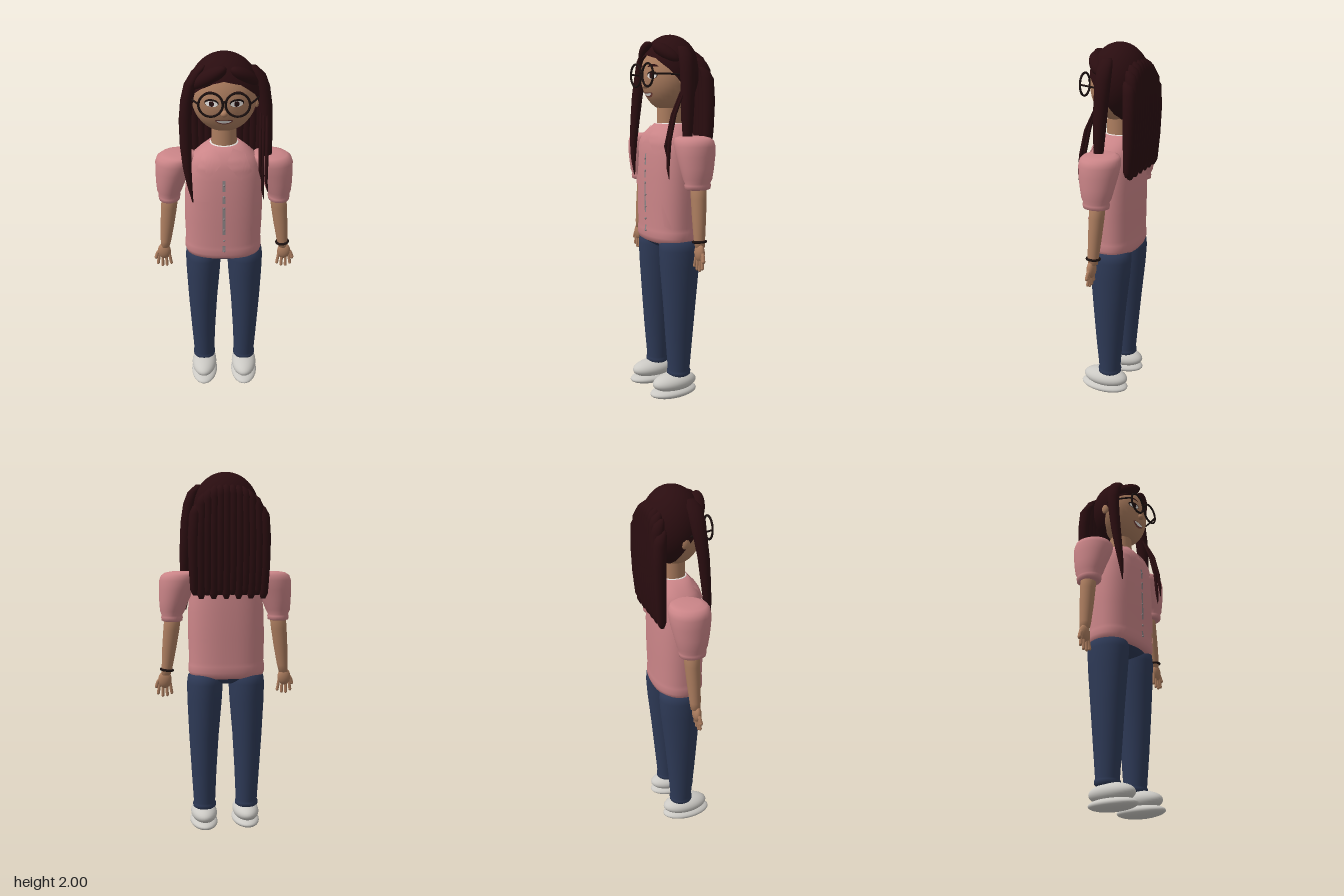
import * as THREE from 'three';
import { mergeVertices } from 'three/addons/utils/BufferGeometryUtils.js';

const mat = (name, color, side = THREE.FrontSide) => {
  const m = new THREE.MeshStandardMaterial({ color, side });
  m.name = name;
  return m;
};

// Smooth closed body through horizontal sections [y, x, z, rx, rz], bottom to top
function loft(sections, n = 2, segs = 32) {
  const a = sections[0], b = sections[sections.length - 1];
  const rows = [[a[0], a[1], a[2], 0, 0], ...sections, [b[0], b[1], b[2], 0, 0]];
  const g = new THREE.PlaneGeometry(1, 1, segs, rows.length - 1);
  const p = g.attributes.position, uv = g.attributes.uv;
  const pw = (t) => Math.sign(t) * Math.pow(Math.abs(t), 2 / n);
  for (let i = 0; i < p.count; i++) {
    const phi = (uv.getX(i) * 2 - 1) * Math.PI;
    const [y, x, z, rx, rz] = rows[Math.round(uv.getY(i) * (rows.length - 1))];
    p.setXYZ(i, x + rx * pw(Math.sin(phi)), y, z + rz * pw(Math.cos(phi)));
  }
  g.deleteAttribute('uv');
  g.deleteAttribute('normal');
  const out = mergeVertices(g, 1e-5);
  out.computeVertexNormals();
  return out;
}

// Lays a flat geometry onto a front surface z = f(x, y)
function drape(g, f, off) {
  const p = g.attributes.position;
  for (let i = 0; i < p.count; i++) p.setZ(i, f(p.getX(i), p.getY(i)) + off);
  g.computeVertexNormals();
  return g;
}

// Four-cornered patch: top left, top right, bottom right, bottom left
function quad(tl, tr, br, bl, n = 8) {
  const g = new THREE.PlaneGeometry(1, 1, n, n);
  const p = g.attributes.position;
  const mix = THREE.MathUtils.lerp;
  for (let i = 0; i < p.count; i++) {
    const u = p.getX(i) + 0.5, v = p.getY(i) + 0.5;
    p.setXY(i, mix(mix(bl[0], br[0], u), mix(tl[0], tr[0], u), v), mix(mix(bl[1], br[1], u), mix(tl[1], tr[1], u), v));
  }
  return g;
}

// Flat ellipse, optionally bent upwards at its ends
function oval(x, y, rx, ry, bend = 0) {
  const g = new THREE.CircleGeometry(1, 28);
  const p = g.attributes.position;
  for (let i = 0; i < p.count; i++) {
    const dx = p.getX(i) * rx;
    p.setXY(i, x + dx, y + p.getY(i) * ry + bend * dx * dx);
  }
  return g;
}

export function createModel() {
  const root = new THREE.Group();
  const hair = mat('dark hair', 0x2a0d10, THREE.DoubleSide);
  const skin = mat('skin', 0xac7d5f);
  const pink = mat('pink jacket', 0xcb8588, THREE.DoubleSide);
  const denim = mat('blue denim', 0x2e3a57);
  const shoe = mat('pale shoe', 0xcbc9c4);
  const black = mat('black frame', 0x1c1110);
  const metal = mat('zip metal', 0x8c8486);
  const white = mat('white', 0xe6e2de);
  const lip = mat('lip', 0x74403a);

  const add = (name, g, m, pos = [0, 0, 0], scale = [1, 1, 1], rot = [0, 0, 0]) => {
    const mesh = new THREE.Mesh(g, m);
    mesh.name = name;
    mesh.position.set(...pos);
    mesh.scale.set(...scale);
    mesh.rotation.set(...rot);
    root.add(mesh);
    return mesh;
  };
  const ball = new THREE.SphereGeometry(1, 32, 20);
  const rod = (name, pts, r, m) =>
    add(name, new THREE.TubeGeometry(new THREE.CatmullRomCurve3(pts.map((q) => new THREE.Vector3(...q))), 12, r, 8), m);

  // Jacket body
  const torso = [
    [0.885, -0.005, 0, 0.185, 0.115], [0.895, -0.005, 0, 0.204, 0.13], [0.92, -0.005, 0, 0.213, 0.138],
    [0.955, -0.005, 0, 0.212, 0.138], [0.975, -0.005, 0, 0.208, 0.135], [1.1, -0.004, 0, 0.212, 0.138],
    [1.25, -0.002, 0, 0.21, 0.138], [1.36, 0, 0, 0.2, 0.134], [1.43, 0, 0, 0.185, 0.127],
    [1.47, 0, -0.004, 0.16, 0.117], [1.5, 0, -0.008, 0.125, 0.1], [1.53, 0, -0.01, 0.085, 0.078]];
  add('jacketBody', loft(torso, 2.4, 48), pink);
  const chest = (x, y) => {
    let i = 0;
    while (i < torso.length - 2 && torso[i + 1][0] < y) i++;
    const t = THREE.MathUtils.clamp((y - torso[i][0]) / (torso[i + 1][0] - torso[i][0]), 0, 1);
    const [, cx, cz, rx, rz] = torso[i].map((v, k) => THREE.MathUtils.lerp(v, torso[i + 1][k], t));
    return cz + rz * Math.pow(Math.max(0, 1 - Math.pow(Math.abs((x - cx) / rx), 2.4)), 1 / 2.4);
  };

  // Lapels, pocket and zip
  add('rightLapel', drape(quad([-0.105, 1.5], [-0.045, 1.525], [-0.01, 1.46], [-0.09, 1.37]), chest, 0.009), pink);
  add('rightLapelPoint', drape(quad([-0.108, 1.5], [-0.07, 1.46], [-0.088, 1.372], [-0.145, 1.41]), chest, 0.008), pink);
  add('leftLapel', drape(quad([0.045, 1.525], [0.105, 1.5], [0.09, 1.37], [0.01, 1.46]), chest, 0.009), pink);
  add('leftLapelPoint', drape(quad([0.07, 1.46], [0.108, 1.5], [0.145, 1.41], [0.088, 1.372]), chest, 0.008), pink);
  add('chestPocketFlap', drape(quad([-0.16, 1.243], [-0.072, 1.25], [-0.085, 1.195], [-0.15, 1.193]), chest, 0.007), pink);
  add('sidePocketWelt', drape(quad([0.135, 1.115], [0.143, 1.115], [0.186, 0.97], [0.15, 0.99]), chest, 0.007), pink);
  for (const [top, bottom] of [[1.37, 1.31], [1.28, 1.24], [1.22, 1.05], [0.98, 0.945]]) {
    add('zip', drape(quad([-0.008, top], [0.006, top], [0.006, bottom], [-0.008, bottom]), chest, 0.005), metal);
  }
  for (let i = 0; i < 7; i++) {
    add('snap', ball, metal, [0.0, 1.345 - i * 0.066, 0.142], [0.006, 0.006, 0.005]);
  }
  add('shirtNeckline', new THREE.TorusGeometry(0.068, 0.011, 8, 32), white, [0, 1.522, -0.008], [1, 1, 1], [Math.PI / 2, 0, 0]);

  // Jeans
  add('jeansSeat', ball, denim, [0, 0.915, 0], [0.195, 0.072, 0.122]);

  for (const s of [1, -1]) {
    const side = s > 0 ? 'left' : 'right';
    const mirrored = (rows) => rows.map(([y, x, ...r]) => [y, x * s, ...r]);
    add(side + 'JeansLeg', loft(mirrored([
      [0.125, 0.122, 0, 0.055, 0.055], [0.133, 0.122, 0, 0.065, 0.066], [0.15, 0.122, 0, 0.066, 0.067],
      [0.16, 0.122, 0, 0.061, 0.062], [0.35, 0.124, 0, 0.071, 0.078], [0.55, 0.124, -0.002, 0.083, 0.094],
      [0.75, 0.12, -0.005, 0.096, 0.112], [0.85, 0.118, -0.006, 0.1, 0.118], [0.895, 0.115, -0.006, 0.097, 0.115],
      [0.925, 0.11, -0.005, 0.07, 0.085]])), denim);

    // Shoe: flat rounded sole and padded upper
    add(side + 'ShoeSole', ball, shoe, [s * 0.122, 0.033, 0.034], [0.078, 0.033, 0.143]);
    add(side + 'ShoeUpper', ball, shoe, [s * 0.122, 0.087, 0.027], [0.074, 0.052, 0.134]);

    // Puffed sleeve with gathered cuff
    add(side + 'Sleeve', loft(mirrored([
      [1.198, 0.297, -0.006, 0.045, 0.058], [1.203, 0.298, -0.006, 0.057, 0.07], [1.222, 0.298, -0.006, 0.06, 0.073],
      [1.232, 0.298, -0.006, 0.056, 0.069], [1.255, 0.296, -0.007, 0.067, 0.08], [1.31, 0.287, -0.008, 0.08, 0.092],
      [1.37, 0.273, -0.009, 0.094, 0.104], [1.42, 0.26, -0.01, 0.106, 0.109], [1.448, 0.252, -0.01, 0.104, 0.105],
      [1.463, 0.242, -0.01, 0.092, 0.092], [1.47, 0.23, -0.01, 0.065, 0.065]])), pink);

    // Arm, palm, fingers and thumb
    add(side + 'Arm', loft(mirrored([
      [0.9, 0.334, 0, 0.025, 0.026], [0.94, 0.328, 0, 0.03, 0.03], [1.05, 0.315, -0.005, 0.039, 0.036],
      [1.15, 0.303, -0.01, 0.044, 0.04], [1.24, 0.293, -0.012, 0.046, 0.042]])), skin);
    add(side + 'Palm', ball, skin, [s * 0.34, 0.872, 0.006], [0.037, 0.048, 0.023]);
    for (let i = 0; i < 4; i++) {
      const x = 0.313 + i * 0.018, drop = [0.798, 0.785, 0.783, 0.797][i];
      rod(side + 'Finger', [[s * x, 0.865, 0.008], [s * (x + (i - 1.5) * 0.004), 0.825, 0.01], [s * (x + (i - 1.5) * 0.007), drop, 0.012]], 0.0085, skin);
      add(side + 'Fingertip', ball, skin, [s * (x + (i - 1.5) * 0.007), drop, 0.012], [0.0085, 0.01, 0.0085]);
    }
    rod(side + 'Thumb', [[s * 0.35, 0.885, 0.004], [s * 0.375, 0.865, 0.008], [s * 0.387, 0.835, 0.012]], 0.01, skin);
    add(side + 'ThumbTip', ball, skin, [s * 0.387, 0.835, 0.012], [0.01, 0.012, 0.01]);
    add(side + 'Ear', ball, skin, [s * 0.166, 1.755, 0], [0.015, 0.035, 0.024]);
  }
  add('bracelet', new THREE.TorusGeometry(0.033, 0.007, 8, 24), black, [0.329, 0.928, 0], [1, 1, 1], [Math.PI / 2, 0.12, 0]);

  // Head and neck
  add('neck', new THREE.CylinderGeometry(0.064, 0.068, 0.17, 32), skin, [0, 1.575, -0.008]);
  add('head', ball, skin, [0, 1.785, 0], [0.168, 0.187, 0.14]);
  add('nose', ball, skin, [0, 1.732, 0.138], [0.018, 0.017, 0.017]);
  const face = (x, y) => 0.14 * Math.sqrt(Math.max(0, 1 - (x / 0.168) ** 2 - ((y - 1.785) / 0.187) ** 2));
  for (const s of [1, -1]) {
    const x = s * 0.062;
    add('lashLine', drape(oval(x, 1.785, 0.035, 0.02), face, 0.003), black);
    add('eyeWhite', drape(oval(x, 1.781, 0.031, 0.015), face, 0.005), white);
    add('iris', drape(oval(x, 1.782, 0.013, 0.014), face, 0.007), hair);
    add('pupil', drape(oval(x, 1.782, 0.006, 0.007), face, 0.009), black);
    add('eyebrow', drape(oval(x, 1.835, 0.036, 0.006, -6), face, 0.004), hair);

    // Round glasses
    add('glassesRim', new THREE.TorusGeometry(0.059, 0.006, 8, 40), black, [s * 0.066, 1.785, 0.16]);
    rod('glassesArm', [[s * 0.126, 1.79, 0.16], [s * 0.155, 1.79, 0.1], [s * 0.178, 1.785, 0.02]], 0.005, black);
  }
  rod('glassesBridge', [[-0.012, 1.795, 0.16], [0, 1.8, 0.165], [0.012, 1.795, 0.16]], 0.006, black);
  add('lips', drape(oval(0, 1.682, 0.045, 0.013, 4), face, 0.004), lip);
  add('teeth', drape(oval(0, 1.684, 0.037, 0.007, 4), face, 0.007), white);

  // Hair cap, cut along a hairline that drops from the brow to the nape
  const line = [[0, 1.89], [0.5, 1.87], [1, 1.81], [1.4, 1.74], [1.75, 1.65], [2.2, 1.61], [3.2, 1.6]];
  const hairline = (phi) => {
    const a = Math.abs(phi);
    const i = Math.max(0, line.findIndex((k, j) => j < line.length - 1 && a < line[j + 1][0]));
    return THREE.MathUtils.mapLinear(a, line[i][0], line[i + 1][0], line[i][1], line[i + 1][1]);
  };
  const cap = new THREE.PlaneGeometry(1, 1, 64, 24);
  const cp = cap.attributes.position, cuv = cap.attributes.uv;
  for (let i = 0; i < cp.count; i++) {
    const phi = (cuv.getX(i) * 2 - 1) * Math.PI;
    const t = (1 - cuv.getY(i)) * Math.acos(THREE.MathUtils.clamp((hairline(phi) - 1.8) / 0.2, -1, 1));
    cp.setXYZ(i, 0.182 * Math.sin(t) * Math.sin(phi), 1.8 + 0.2 * Math.cos(t), -0.01 + 0.157 * Math.sin(t) * Math.cos(phi));
  }
  cap.computeVertexNormals();
  add('hairCap', cap, hair);
  add('rightFringe', ball, hair, [-0.08, 1.893, 0.082], [0.115, 0.04, 0.048], [0, -0.45, 0.55]);
  add('leftFringe', ball, hair, [0.1, 1.898, 0.068], [0.09, 0.036, 0.045], [0, 0.6, -0.55]);

  // Back curtain of straight locks
  for (let i = 0; i < 12; i++) {
    const x = -0.19 + (i * 0.38) / 11;
    const top = 1.76 + 0.15 * Math.sqrt(1 - (x / 0.2) ** 2);
    const end = 1.325 + 0.02 * (i % 2);
    add('backLock', loft([
      [end, x * 0.97, -0.13, 0.012, 0.012], [end + 0.03, x * 0.98, -0.133, 0.024, 0.024],
      [1.5, x, -0.139, 0.029, 0.03], [1.65, x, -0.141, 0.032, 0.034], [top - 0.04, x * 0.96, -0.137, 0.032, 0.034],
      [top, x * 0.9, -0.125, 0.024, 0.027], [top + 0.02, x * 0.84, -0.11, 0.01, 0.012]], 2, 14), hair);
  }

  // Side locks and loose strands
  add('rightSideLock', loft([
    [1.24, -0.165, 0.122, 0.003, 0.003], [1.33, -0.178, 0.122, 0.013, 0.014], [1.43, -0.19, 0.114, 0.022, 0.021],
    [1.55, -0.196, 0.1, 0.029, 0.026], [1.68, -0.196, 0.085, 0.032, 0.03], [1.78, -0.186, 0.07, 0.032, 0.035],
    [1.86, -0.165, 0.06, 0.033, 0.042], [1.92, -0.13, 0.05, 0.03, 0.042], [1.95, -0.1, 0.04, 0.015, 0.025]], 2, 20), hair);
  add('leftSideLock', loft([
    [1.41, 0.228, 0.012, 0.012, 0.012], [1.47, 0.225, 0.012, 0.026, 0.026], [1.6, 0.218, 0.008, 0.033, 0.034],
    [1.73, 0.21, 0.002, 0.036, 0.039], [1.83, 0.196, -0.002, 0.035, 0.041], [1.89, 0.176, -0.003, 0.032, 0.039],
    [1.93, 0.145, -0.003, 0.02, 0.026]], 2, 20), hair);
  for (const [x, z, end] of [[0.2, 0.105, 1.25], [0.218, 0.115, 1.3], [0.185, 0.11, 1.36]]) {
    add('looseStrand', loft([
      [end, x + 0.01, z + 0.008, 0.002, 0.002], [end + 0.06, x, z + 0.01, 0.008, 0.009], [1.45, x, z, 0.009, 0.011],
      [1.58, x, z - 0.03, 0.008, 0.01], [1.7, x, 0.03, 0.004, 0.005]], 2, 10), hair);
  }
  return root;
}
